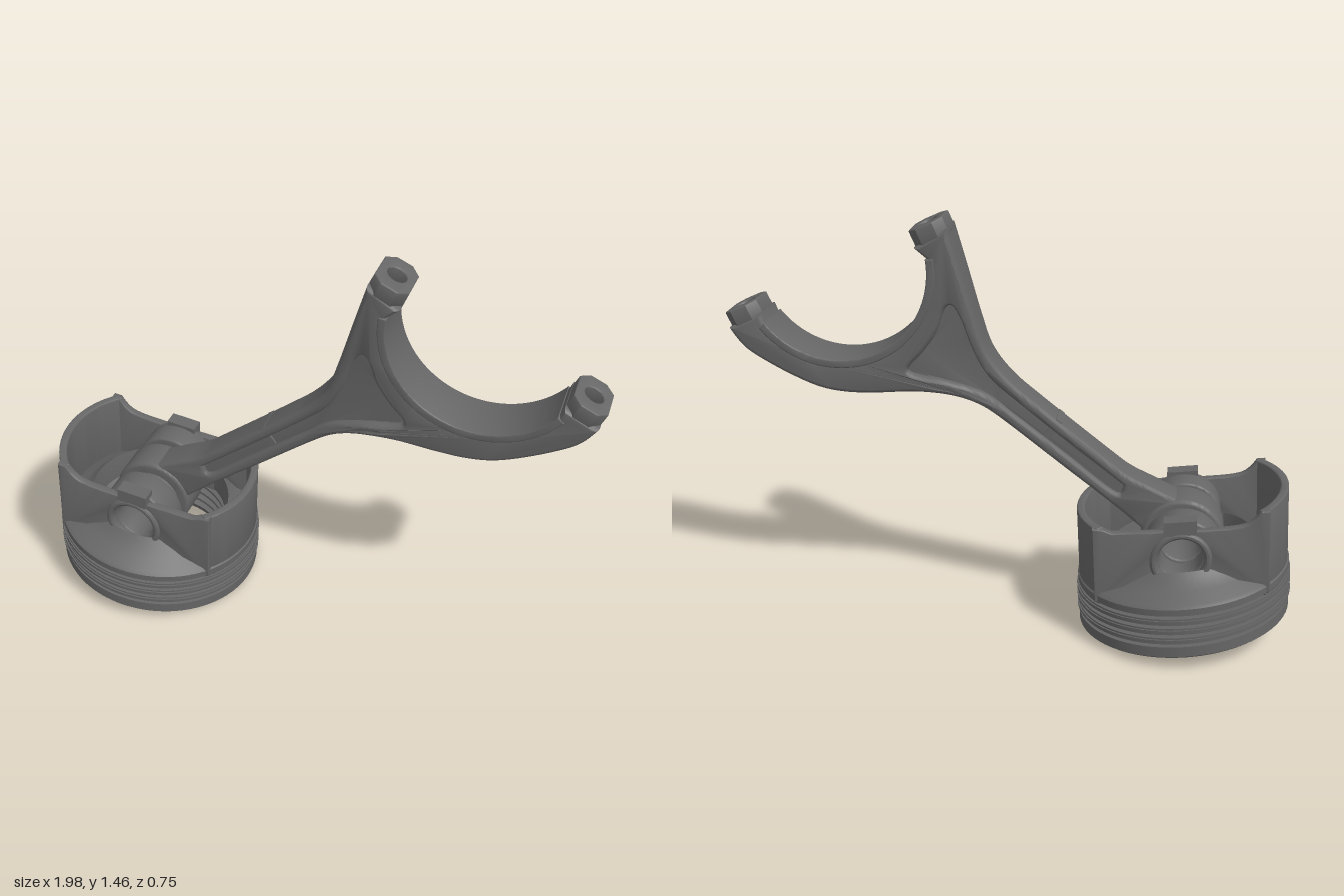
import * as THREE from 'three';
import { toCreasedNormals } from 'three/addons/utils/BufferGeometryUtils.js';

const steel = new THREE.MeshStandardMaterial({ color: 0x666666 });
steel.name = 'dark steel';

const V = (p) => p.map(([x, y]) => new THREE.Vector2(x, y));
const spline = (p, n = 40) => new THREE.SplineCurve(V(p)).getPoints(n);

function addMesh(parent, name, geo, matrix) {
  if (matrix) geo.applyMatrix4(matrix);
  const mesh = new THREE.Mesh(toCreasedNormals(geo, 0.6), steel);
  mesh.name = name;
  parent.add(mesh);
  return mesh;
}

// Extrusion centred on z = 0 with a bevel that stays inside the outline
function plate(shape, thickness, bevel = 0) {
  const geo = new THREE.ExtrudeGeometry(shape, {
    depth: thickness - 2 * bevel, curveSegments: 40, bevelEnabled: bevel > 0,
    bevelSize: bevel, bevelThickness: bevel, bevelOffset: -bevel, bevelSegments: 3,
  });
  return geo.translate(0, 0, bevel - thickness / 2);
}

function circleHole(shape, x, y, r) {
  shape.holes.push(new THREE.Path().absarc(x, y, r, 0, Math.PI * 2, true));
  return shape;
}

// Hollow cylinder along z
function tubeZ(x, y, outer, inner, length, bevel = 0.008) {
  const s = new THREE.Shape().absarc(x, y, outer, 0, Math.PI * 2, false);
  return plate(circleHole(s, x, y, inner), length, bevel);
}

// Ring sector between two radii
function sector(cx, cy, outer, inner, a0, a1) {
  const s = new THREE.Shape();
  s.absarc(cx, cy, outer, a0, a1, false);
  s.absarc(cx, cy, inner, a1, a0, true);
  return s;
}

function createPiston() {
  const piston = new THREE.Group();
  piston.name = 'piston';
  // Leaning placement of the whole piston
  const lean = new THREE.Matrix4().set(
    1, 0.055, 0, -0.625,
    -0.135, 1, 0, 0.05,
    0, 0, 1, 0,
    0, 0, 0, 1);

  // Crown: open ring with outer grooves, sloped shoulder and threaded bore
  const profile = [[0.25, 0], [0.36, 0], [0.37, 0.008]];
  for (const y of [0.045, 0.08, 0.115, 0.15]) {
    profile.push([0.37, y], [0.345, y], [0.345, y + 0.012], [0.37, y + 0.012]);
  }
  profile.push([0.37, 0.185], [0.36, 0.195], [0.305, 0.215], [0.268, 0.25], [0.255, 0.265], [0.245, 0.2]);
  for (const y of [0.16, 0.12, 0.08, 0.04]) {
    profile.push([0.245, y + 0.01], [0.262, y], [0.262, y - 0.01], [0.245, y - 0.02]);
  }
  profile.push([0.25, 0]);
  addMesh(piston, 'crown', new THREE.LatheGeometry(V(profile), 72), lean);

  // Piston rings
  for (const y of [0.064, 0.099, 0.134]) {
    const ring = new THREE.LatheGeometry(V([[0.34, y], [0.375, y], [0.375, y + 0.01], [0.34, y + 0.01]]), 72);
    addMesh(piston, 'pistonRing', ring, lean);
  }

  // Curved skirts
  for (const [name, mid, top] of [['rightSkirt', Math.PI, 0.46], ['leftSkirt', 0, 0.435]]) {
    const h = top - 0.15;
    const geo = plate(sector(0, 0, 0.365, 0.337, mid - 0.7, mid + 0.7), h, 0.005);
    geo.rotateX(-Math.PI / 2).translate(0, 0.15 + h / 2, 0);
    addMesh(piston, name, geo, lean);
  }

  // Flat walls, pin bosses, hole rims and top tabs, front and back
  const wall = new THREE.Shape([
    ...V([[-0.295, 0.16], [0.295, 0.16], [0.295, 0.435], [0.26, 0.43]]),
    ...spline([[0.23, 0.415], [0.1, 0.41], [-0.1, 0.405], [-0.2, 0.41], [-0.24, 0.43], [-0.265, 0.46]], 20),
    ...V([[-0.295, 0.46]]),
  ]);
  circleHole(wall, 0, 0.3, 0.078);
  for (const [side, s] of [['front', 1], ['back', -1]]) {
    addMesh(piston, side + 'Wall', plate(wall, 0.03, 0.005).translate(0, 0, s * 0.222), lean);
    addMesh(piston, side + 'PinBoss', tubeZ(0, 0.3, 0.135, 0.072, 0.115).translate(0, 0, s * 0.16), lean);
    const rim = new THREE.TorusGeometry(0.092, 0.013, 10, 48).translate(0, 0.3, s * 0.235);
    addMesh(piston, side + 'PinHoleRim', rim, lean);
    addMesh(piston, side + 'Tab', new THREE.BoxGeometry(0.11, 0.05, 0.055).translate(0, 0.42, s * 0.218), lean);
  }
  return piston;
}

function createRod() {
  const rod = new THREE.Group();
  rod.name = 'connectingRod';
  const cx = 0.59, cy = 1.275, a0 = 3.0, a1 = 5.62;

  // The rod thickens from shank to fork
  const thicken = (geo) => {
    const p = geo.attributes.position;
    for (let i = 0; i < p.count; i++) {
      p.setZ(i, p.getZ(i) * (1 + 0.45 * THREE.MathUtils.smoothstep(p.getX(i), 0, 0.25)));
    }
    return geo;
  };

  // Pocket between the flanges, flaring towards the fork
  const pocket = [
    ...spline([[-0.4, 0.535], [-0.37, 0.508], [-0.2, 0.638], [-0.02, 0.775], [0.08, 0.85],
      [0.2, 0.893], [0.31, 0.912], [0.345, 0.935], [0.29, 1.0], [0.245, 1.07], [0.215, 1.15],
      [0.188, 1.16], [0.16, 1.11], [0.12, 1.0], [0.06, 0.9], [-0.07, 0.79], [-0.24, 0.657]], 90),
  ];

  // Shank and fork outline
  const arc = [];
  for (let i = 0; i <= 48; i++) {
    const a = a0 + (a1 - a0) * i / 48;
    arc.push(new THREE.Vector2(cx + 0.32 * Math.cos(a), cy + 0.32 * Math.sin(a)));
  }
  const body = new THREE.Shape([
    ...spline([[-0.6, 0.485], [-0.5, 0.532], [-0.42, 0.57], [-0.35, 0.62], [-0.1, 0.815], [0, 0.9],
      [0.07, 0.99], [0.11, 1.1], [0.16, 1.27], [0.205, 1.42]], 60),
    ...V([[0.315, 1.355]]),
    ...arc,
    ...V([[0.855, 1.11]]),
    ...spline([[0.97, 1.055], [0.93, 1.0], [0.88, 0.96], [0.77, 0.9], [0.66, 0.855], [0.56, 0.84],
      [0.45, 0.843], [0.32, 0.853], [0.2, 0.845], [0.1, 0.81], [0, 0.74], [-0.18, 0.602],
      [-0.36, 0.465], [-0.47, 0.375]], 70),
    ...V([[-0.52, 0.425]]),
  ]);
  body.holes.push(new THREE.Path(pocket));
  addMesh(rod, 'shankAndFork', thicken(plate(body, 0.126, 0.014)));
  addMesh(rod, 'web', thicken(plate(new THREE.Shape(pocket), 0.088)));

  // Small pad across the web
  const pad = new THREE.BoxGeometry(0.025, 0.075, 0.105).rotateZ(0.65).translate(-0.15, 0.73, 0);
  addMesh(rod, 'webPad', pad);

  // Small end eye with side bushing
  addMesh(rod, 'smallEnd', tubeZ(-0.61, 0.35, 0.145, 0.072, 0.14, 0.014));
  addMesh(rod, 'bushing', tubeZ(-0.61, 0.35, 0.105, 0.071, 0.18));

  // Bearing seat lining the fork
  addMesh(rod, 'bearingSeat', plate(sector(cx, cy, 0.345, 0.317, a0, a1), 0.188, 0.004));

  // Bolt ends with drilled holes, both on the slanted parting plane
  const n = new THREE.Vector3(0.413, 0.911, 0);
  const along = new THREE.Vector3(0.911, -0.413, 0);
  const end = new THREE.Shape(V([[-0.062, -0.055], [-0.03, -0.088], [0.03, -0.088], [0.062, -0.055],
    [0.062, 0.055], [0.03, 0.088], [-0.03, 0.088], [-0.062, 0.055]]));
  circleHole(end, 0, 0, 0.034);
  for (const [name, x, y] of [['upperBoltEnd', 0.28, 1.4325], ['lowerBoltEnd', 0.9325, 1.1275]]) {
    const m = new THREE.Matrix4().makeBasis(along, new THREE.Vector3(0, 0, -1), n).setPosition(x, y, 0);
    addMesh(rod, name, plate(end, 0.06, 0.004).translate(0, 0, -0.03), m);
  }
  return rod;
}

export function createModel() {
  const model = new THREE.Group();
  model.name = 'pistonAndRod';
  model.add(createPiston(), createRod());
  return model;
}
